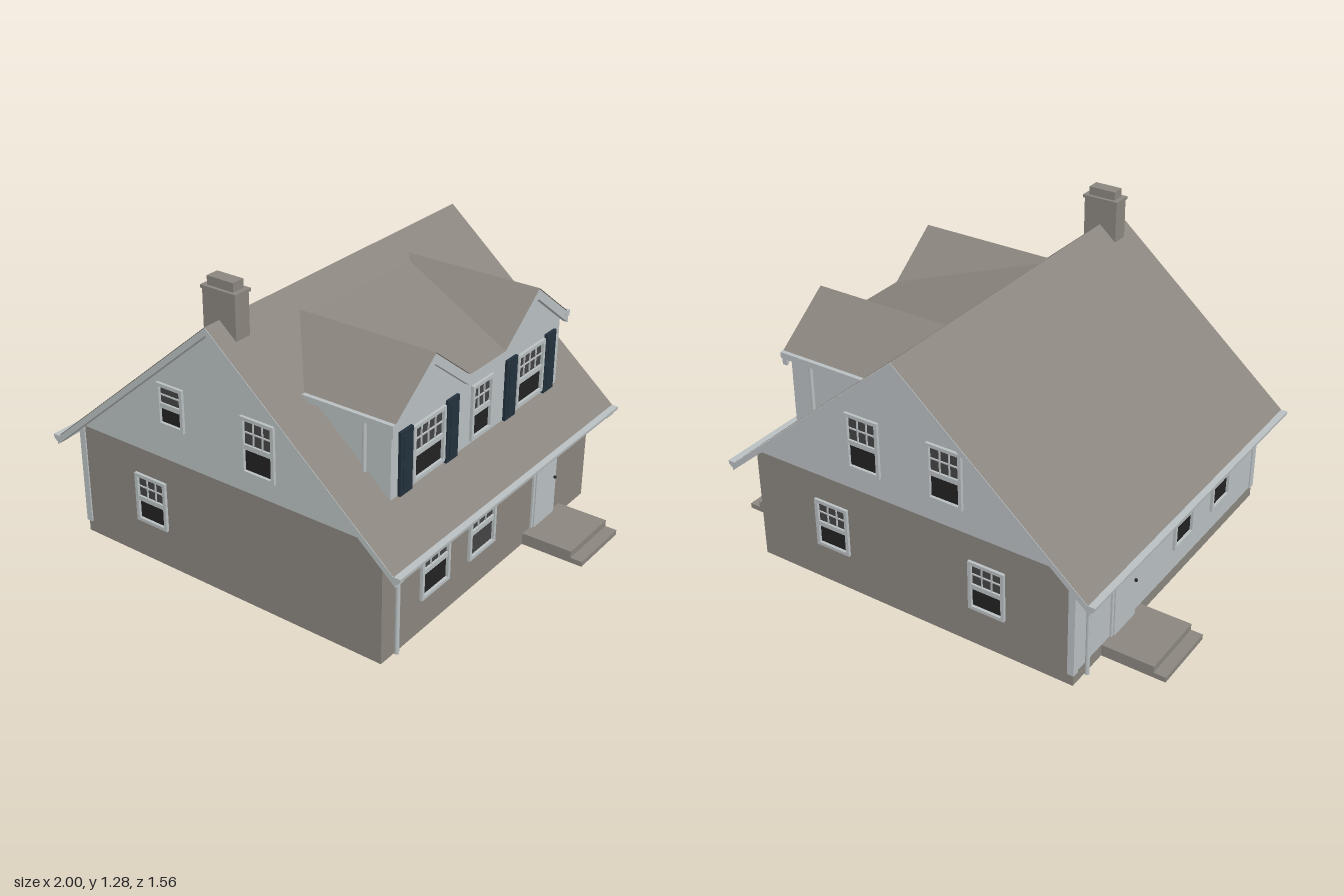
import * as THREE from 'three';

const mat = (name, color) => {
  const m = new THREE.MeshStandardMaterial({ color, side: THREE.DoubleSide });
  m.name = name;
  return m;
};

export function createModel() {
  const stone = mat('warm grey stone', 0x8a857e);
  const siding = mat('pale siding', 0xb9bfc1);
  const glass = mat('upper glass', 0x444444);
  const darkGlass = mat('lower glass', 0x222222);
  const navy = mat('navy shutter', 0x22303c);

  const house = new THREE.Group();
  house.name = 'house';

  const add = (parent, name, geo, material, x = 0, y = 0, z = 0) => {
    const m = new THREE.Mesh(geo, material);
    m.name = name;
    m.position.set(x, y, z);
    parent.add(m);
    return m;
  };
  // Box given by its minimum and maximum corners
  const box = (parent, name, material, [x0, y0, z0], [x1, y1, z1]) =>
    add(parent, name, new THREE.BoxGeometry(Math.abs(x1 - x0), y1 - y0, Math.abs(z1 - z0)), material,
      (x0 + x1) / 2, (y0 + y1) / 2, (z0 + z1) / 2);
  // Flat polygon in space
  const face = (parent, name, material, pts) => {
    const tri = [];
    for (let i = 1; i < pts.length - 1; i++) tri.push(...pts[0], ...pts[i], ...pts[i + 1]);
    const g = new THREE.BufferGeometry();
    g.setAttribute('position', new THREE.Float32BufferAttribute(tri, 3));
    g.computeVertexNormals();
    return add(parent, name, g, material);
  };
  const shapeOf = pts => new THREE.Shape(pts.map(p => new THREE.Vector2(...p)));
  const rod = (parent, name, a, b, r = 0.01) => {
    const A = new THREE.Vector3(...a), B = new THREE.Vector3(...b);
    const m = add(parent, name, new THREE.CylinderGeometry(r, r, A.distanceTo(B), 8), siding);
    m.position.copy(A).add(B).multiplyScalar(0.5);
    m.quaternion.setFromUnitVectors(new THREE.Vector3(0, 1, 0), B.sub(A).normalize());
  };

  // Sash window: frame, rail, glazing bars and two panes, in wall coordinates
  const sashWindow = (parent, { u, w, y0, y1, cols, lower = darkGlass }) => {
    const g = new THREE.Group();
    g.name = 'window';
    parent.add(g);
    const l = u - w / 2, r = u + w / 2, f = 0.014, d = 0.012;
    const mid = y0 + (y1 - y0) * 0.48;
    const plate = (name, m, a, b) =>
      add(g, name, new THREE.PlaneGeometry(w, b - a), m, u, (a + b) / 2, 0);
    plate('lowerPane', lower, y0, mid);
    plate('upperPane', glass, mid, y1);
    box(g, 'frameSide', siding, [l - f, y0 - f, -d], [l, y1 + f, d]);
    box(g, 'frameSide', siding, [r, y0 - f, -d], [r + f, y1 + f, d]);
    box(g, 'frameTop', siding, [l, y1, -d], [r, y1 + f, d]);
    box(g, 'sill', siding, [l, y0 - f, -d], [r, y0, d]);
    box(g, 'meetingRail', siding, [l, mid - 0.01, -0.009], [r, mid + 0.01, 0.009]);
    const bar = 0.0025, h = (mid + 0.01 + y1) / 2;
    box(g, 'glazingBar', siding, [l, h - bar, -0.005], [r, h + bar, 0.005]);
    for (let i = 1; i < cols; i++) {
      const x = l + (w * i) / cols;
      box(g, 'glazingBar', siding, [x - bar, mid, -0.005], [x + bar, y1, 0.005]);
    }
  };
  // Flat wall with an opening for each window
  const wall = (parent, name, material, outline, windows = []) => {
    const s = shapeOf(outline);
    for (const q of windows) {
      const l = q.u - q.w / 2, r = q.u + q.w / 2;
      s.holes.push(new THREE.Path([[l, q.y0], [l, q.y1], [r, q.y1], [r, q.y0]].map(p => new THREE.Vector2(...p))));
      sashWindow(parent, q);
    }
    add(parent, name, new THREE.ShapeGeometry(s), material);
  };
  // Group whose local +z looks out of the wall
  const side = (name, angle, dist) => {
    const g = new THREE.Group();
    g.name = name;
    g.rotation.y = angle;
    g.position.set(Math.sin(angle) * dist, 0, Math.cos(angle) * dist);
    house.add(g);
    return g;
  };
  const rect = (l, b, r, t) => [[l, b], [r, b], [r, t], [l, t]];

  const W = 0.73, TOP = 0.49, PEAK = 1.13, SLOPE = 0.86;
  const roofY = x => PEAK - SLOPE * Math.abs(x);
  const gable = [[-W, TOP], [W, TOP], [0, 1.12]];

  // Gable ends
  const front = side('frontWall', 0, W);
  wall(front, 'frontLowerWall', stone, rect(-W, 0, W, TOP), [{ u: -0.36, w: 0.13, y0: 0.18, y1: 0.365, cols: 3 }]);
  wall(front, 'frontGable', siding, gable, [
    { u: -0.23, w: 0.1, y0: 0.65, y1: 0.8, cols: 1 },
    { u: 0.1875, w: 0.125, y0: 0.585, y1: 0.79, cols: 3 }]);
  const back = side('backWall', Math.PI, W);
  wall(back, 'backLowerWall', stone, rect(-W, 0, W, TOP),
    [-0.36, 0.36].map(u => ({ u, w: 0.13, y0: 0.18, y1: 0.365, cols: 3 })));
  wall(back, 'backGable', siding, gable,
    [-0.185, 0.185].map(u => ({ u, w: 0.125, y0: 0.6, y1: 0.81, cols: 3 })));

  // Door with trim and knob, spanning both faces of the wall
  const door = (parent, u) => {
    box(parent, 'doorTrim', siding, [u - 0.09, 0.05, -0.008], [u + 0.09, 0.4, 0.008]);
    box(parent, 'door', siding, [u - 0.077, 0.05, -0.013], [u + 0.077, 0.385, 0.013]);
    add(parent, 'doorKnob', new THREE.SphereGeometry(0.007, 10, 8), darkGlass, u + 0.065, 0.22, 0.018);
  };
  // Long sides
  const right = side('rightWall', Math.PI / 2, W);
  wall(right, 'rightLowerWall', stone, rect(-W, 0, W, TOP), [
    { u: -0.403, w: 0.155, y0: 0.155, y1: 0.365, cols: 3 },
    { u: -0.085, w: 0.155, y0: 0.155, y1: 0.365, cols: 3, lower: glass }]);
  door(right, 0.383);
  const left = side('leftWall', -Math.PI / 2, W);
  wall(left, 'leftBase', stone, rect(-W, 0, W, 0.05));
  wall(left, 'leftSiding', siding, rect(-W, 0.05, W, TOP),
    [0.085, 0.403].map(u => ({ u, w: 0.13, y0: 0.165, y1: 0.365, cols: 3 })));
  door(left, -0.383);
  for (const s of [-1, 1])
    box(house, 'cornerBoard', siding, [-W - 0.006, 0.05, s * (W - 0.025)], [-W + 0.022, TOP, s * (W + 0.006)]);

  // Main roof, gutters, downspouts and steps on both sides
  const E = 0.82, Z = 0.78;
  const gutterShape = shapeOf([[0.805, 0.432], [0.84, 0.432], [0.838, 0.418], [0.825, 0.405], [0.805, 0.405]]);
  for (const s of [-1, 1]) {
    face(house, 'mainRoof', stone, [[0, PEAK, Z], [s * E, roofY(E), Z], [s * E, roofY(E), -Z], [0, PEAK, -Z]]);
    const gutter = add(house, 'gutter',
      new THREE.ExtrudeGeometry(gutterShape, { depth: 2 * Z, bevelEnabled: false }), siding, 0, 0, -Z);
    if (s < 0) {
      gutter.rotation.y = Math.PI;
      gutter.position.z = Z;
    }
    const z = s * 0.65;
    rod(house, 'downspoutElbow', [s * 0.822, 0.41, z], [s * 0.742, 0.335, z], 0.009);
    rod(house, 'downspout', [s * 0.742, 0.34, z], [s * 0.742, 0.005, z], 0.009);
    box(house, 'lowerStep', stone, [s * W, 0, -0.53], [s, 0.022, -0.24]);
    box(house, 'upperStep', stone, [s * W, 0.022, -0.53], [s * 0.95, 0.05, -0.24]);
  }

  // Sloping boards under the roof edge at both gables
  const top = roofY(E) - 0.003;
  const rake = shapeOf([[-E, top], [0, PEAK - 0.003], [E, top], [E, top - 0.03], [0, PEAK - 0.033], [-E, top - 0.03]]);
  for (const z of [W, -Z])
    add(house, 'rakeBoard', new THREE.ExtrudeGeometry(rake, { depth: Z - W, bevelEnabled: false }), siding, 0, 0, z);

  // Chimney
  box(house, 'chimneyStack', stone, [-0.075, 1.0, 0.628], [0.075, 1.235, 0.702]);
  box(house, 'chimneyCap', stone, [-0.081, 1.233, 0.622], [0.081, 1.245, 0.706]);
  box(house, 'chimneyFlue', stone, [-0.06, 1.245, 0.637], [0.06, 1.28, 0.692]);

  // Dormer front wall with windows and shutters
  const dormer = side('dormer', Math.PI / 2, 0.65);
  wall(dormer, 'dormerFront', siding,
    [[-0.575, 0.57], [0.575, 0.57], [0.575, 0.885], [0.35, 1.05], [0.12, 0.88], [-0.12, 0.88], [-0.35, 1.05], [-0.575, 0.885]],
    [-0.35, 0, 0.35].map(u => ({ u, w: u ? 0.175 : 0.115, y0: 0.6, y1: 0.8, cols: u ? 4 : 3 })));
  for (const u of [-0.495, -0.203, 0.203, 0.495]) {
    box(dormer, 'shutter', navy, [u - 0.037, 0.57, 0], [u + 0.037, 0.825, 0.012]);
    for (const y of [0.59, 0.71])
      box(dormer, 'shutterPanel', navy, [u - 0.022, y, 0.012], [u + 0.022, y + 0.095, 0.016]);
  }
  const line = [[-0.6, 0.875], [-0.35, 1.062], [-0.12, 0.887], [0.12, 0.887], [0.35, 1.062], [0.6, 0.875]];
  const fascia = shapeOf([...line, ...line.map(([u, y]) => [u, y - 0.042]).reverse()]);
  add(dormer, 'dormerFascia', new THREE.ExtrudeGeometry(fascia, { depth: 0.023, bevelEnabled: false }), siding);

  // Dormer roof: twin gables joined by a shallow middle slope
  const F = 0.676, P = 1.065;
  face(house, 'dormerMiddleRoof', stone, [[F, 0.89, 0.12], [F, 0.89, -0.12], [0.1, 1.044, -0.322], [0.1, 1.044, 0.322]]);
  for (const s of [-1, 1]) {
    const ridge = [[F, P, s * 0.35], [0.075, P, s * 0.35]];
    face(house, 'dormerInnerSlope', stone, [...ridge, [0.1, 1.044, s * 0.322], [F, 0.89, s * 0.12]]);
    face(house, 'dormerOuterSlope', stone, [...ridge, [0.285, 0.885, s * 0.59], [F, 0.885, s * 0.59]]);
    face(house, 'dormerSide', siding, [[0.65, 0.57, s * 0.575], [0.65, 0.89, s * 0.575], [0.28, 0.89, s * 0.575]]);
    box(house, 'dormerGutter', siding, [0.285, 0.862, s * 0.578], [F, 0.887, s * 0.605]);
    rod(house, 'dormerDownspout', [0.545, 0.865, s * 0.586], [0.545, 0.66, s * 0.586], 0.008);
  }
  return house;
}
